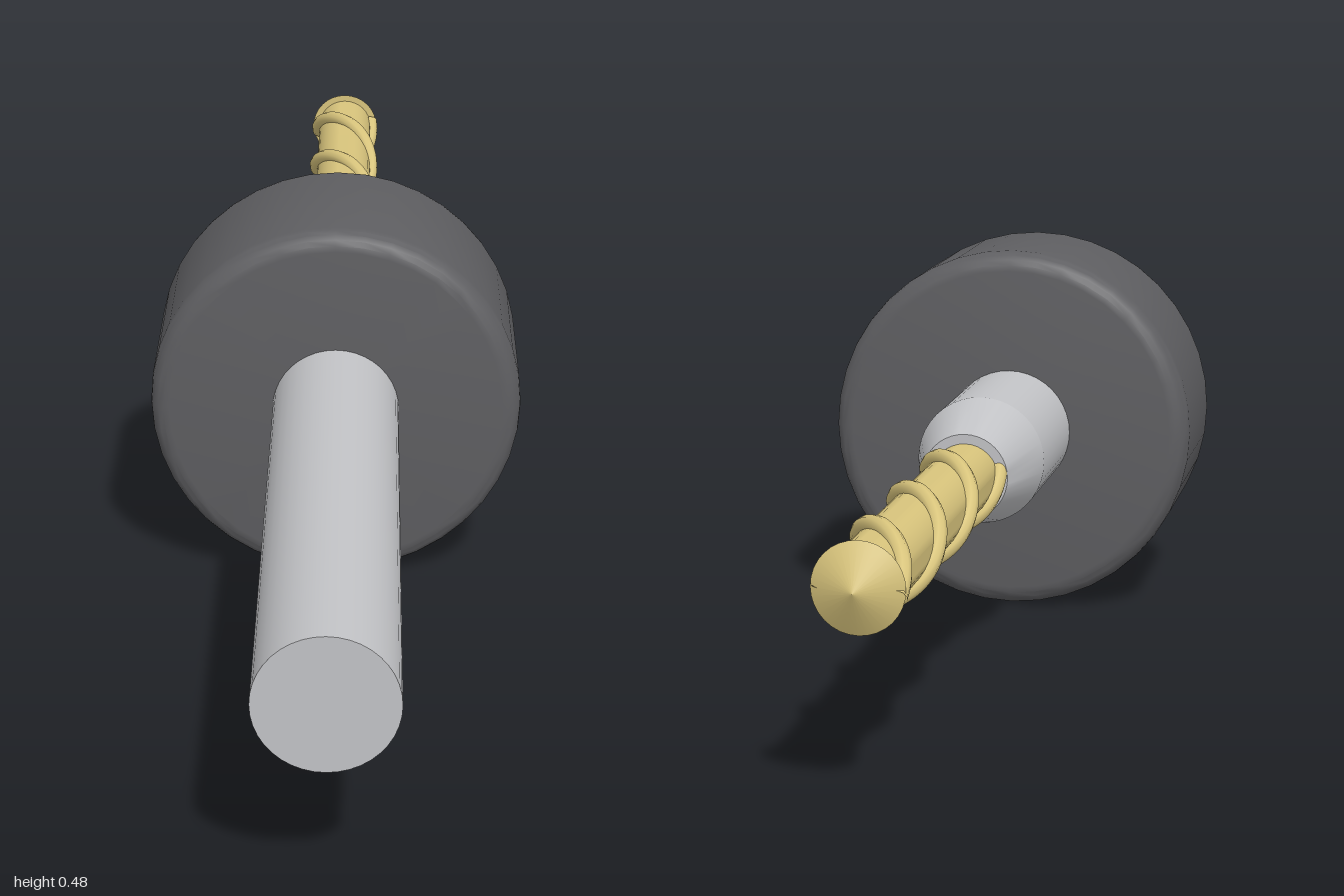
import * as THREE from 'three';
import { toCreasedNormals } from 'three/addons/utils/BufferGeometryUtils.js';

export function createModel() {
  const model = new THREE.Group();
  model.name = 'drillBit';

  const steel = new THREE.MeshStandardMaterial({ name: 'steel', color: 0xc2c3c6 });
  const darkRubber = new THREE.MeshStandardMaterial({ name: 'dark grey', color: 0x5e5e61 });
  const gold = new THREE.MeshStandardMaterial({ name: 'gold', color: 0xd8c47c });

  // The tool lies along z, with its tip towards -z
  const axis = new THREE.Group();
  axis.name = 'tool';
  axis.position.y = 0.242;
  model.add(axis);

  const add = (name, geometry, material) => {
    const mesh = new THREE.Mesh(geometry, material);
    mesh.name = name;
    axis.add(mesh);
  };

  // Solid of revolution from [radius, z] pairs, listed from -z to +z
  const turned = (profile, sides = 40) => {
    const points = profile.map(([r, z]) => new THREE.Vector2(r, z));
    const g = new THREE.LatheGeometry(points, sides).rotateX(Math.PI / 2);
    return toCreasedNormals(g, 0.42);
  };

  // Shank and the taper that leads into the cutting part
  add('shank', turned([[0.082, -0.26], [0.082, 1], [0, 1]]), steel);
  add('taper', turned([[0, -0.37], [0.054, -0.37], [0.082, -0.26]]), steel);

  // Collar with rounded rims
  const R = 0.242, back = -0.05, front = 0.21, f = 0.025;
  const collar = [[0, back]];
  for (let i = 0; i <= 5; i++) {
    const a = (i / 5) * Math.PI / 2;
    collar.push([R - f + f * Math.sin(a), back + f - f * Math.cos(a)]);
  }
  for (let i = 0; i <= 5; i++) {
    const a = (i / 5) * Math.PI / 2;
    collar.push([R - f + f * Math.cos(a), front - f + f * Math.sin(a)]);
  }
  collar.push([0, front]);
  add('collar', turned(collar), darkRubber);

  // Core and pointed tip
  add('core', turned([[0.042, -0.975], [0.042, -0.365]], 32), gold);
  add('tip', turned([[0, -1], [0.052, -0.971], [0, -0.971]], 32), gold);

  // Two spiral cutting edges, half a turn apart
  const pitch = 0.385;
  for (const side of [0, 1]) {
    const path = [];
    for (let i = 0; i <= 48; i++) {
      const z = -0.365 - 0.605 * (i / 48);
      const a = (-0.38 - z) / pitch * Math.PI * 2 + side * Math.PI;
      path.push(new THREE.Vector3(0.043 * Math.cos(a), 0.043 * Math.sin(a), z));
    }
    const curve = new THREE.CatmullRomCurve3(path);
    add('spiralEdge' + (side + 1), new THREE.TubeGeometry(curve, 96, 0.011, 10), gold);
  }

  return model;
}
